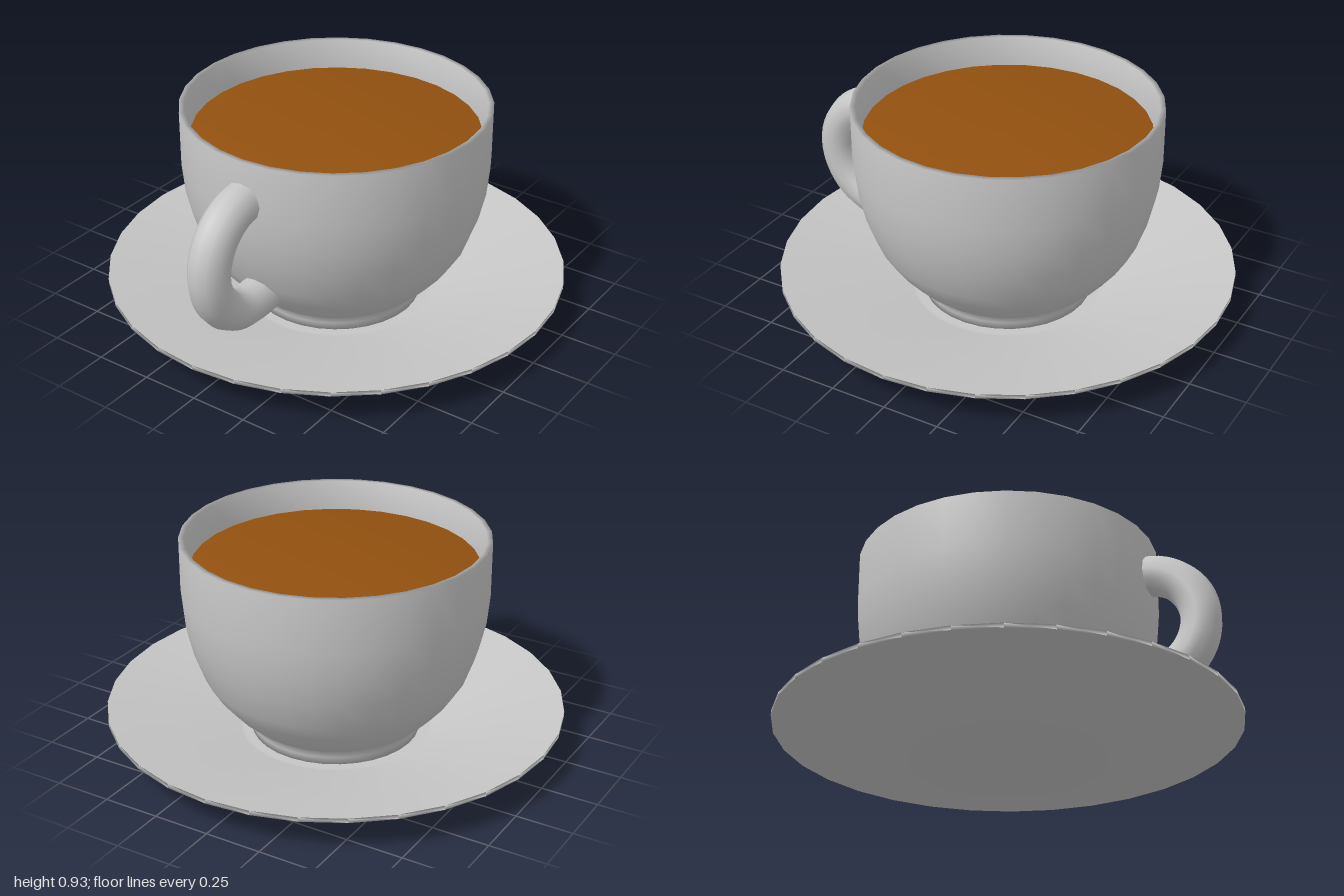
import * as THREE from 'three';

const SEGMENTS = 32;

// Surface of revolution from [radius, height] pairs, bottom centre outwards
function lathe(name, points, material) {
  const profile = points.map(([r, y]) => new THREE.Vector2(r, y));
  const mesh = new THREE.Mesh(new THREE.LatheGeometry(profile, SEGMENTS), material);
  mesh.name = name;
  return mesh;
}

export function createModel() {
  const model = new THREE.Group();
  model.name = 'cupAndSaucer';

  const porcelain = new THREE.MeshStandardMaterial({ color: 0xc6c6c6 });
  porcelain.name = 'porcelain';
  const coffeeBrown = new THREE.MeshStandardMaterial({ color: 0x92500f });
  coffeeBrown.name = 'coffeeBrown';

  // Saucer: flat base, short foot, wedge-shaped dish and a flat well
  model.add(lathe('saucer', [
    [0, 0], [0.425, 0], [0.425, 0.028], [1, 0.14], [1, 0.16],
    [0.425, 0.032], [0.405, 0.028], [0, 0.028],
  ], porcelain));

  // Cup: foot ring, rounded bowl, thin lip and hollow inside
  model.add(lathe('cup', [
    [0, 0.03], [0.37, 0.03], [0.375, 0.065], [0.38, 0.095], [0.405, 0.11],
    [0.46, 0.16], [0.525, 0.235], [0.575, 0.315], [0.62, 0.44], [0.648, 0.56],
    [0.66, 0.69], [0.66, 0.93], [0.637, 0.93], [0.62, 0.8],
    [0.615, 0.68], [0.59, 0.45], [0.52, 0.29], [0.4, 0.16], [0, 0.15],
  ], porcelain));

  // Coffee: level surface well below the lip, with a softly shaded edge
  model.add(lathe('coffee', [[0.6, 0.72], [0.617, 0.8], [0, 0.8]], coffeeBrown));

  // Handle: round tube following an arc, with its lower end running into the bowl
  const path = [];
  for (let i = 0; i <= 12; i++) {
    const a = Math.PI * (0.49 - i / 12);
    path.push(new THREE.Vector3(0, 0.503 + 0.243 * Math.sin(a), 0.632 + 0.24 * Math.cos(a)));
  }
  path.push(new THREE.Vector3(0, 0.264, 0.55), new THREE.Vector3(0, 0.268, 0.48));
  const handle = new THREE.Mesh(
    new THREE.TubeGeometry(new THREE.CatmullRomCurve3(path), 32, 0.088, 12), porcelain);
  handle.name = 'handle';
  model.add(handle);

  return model;
}
